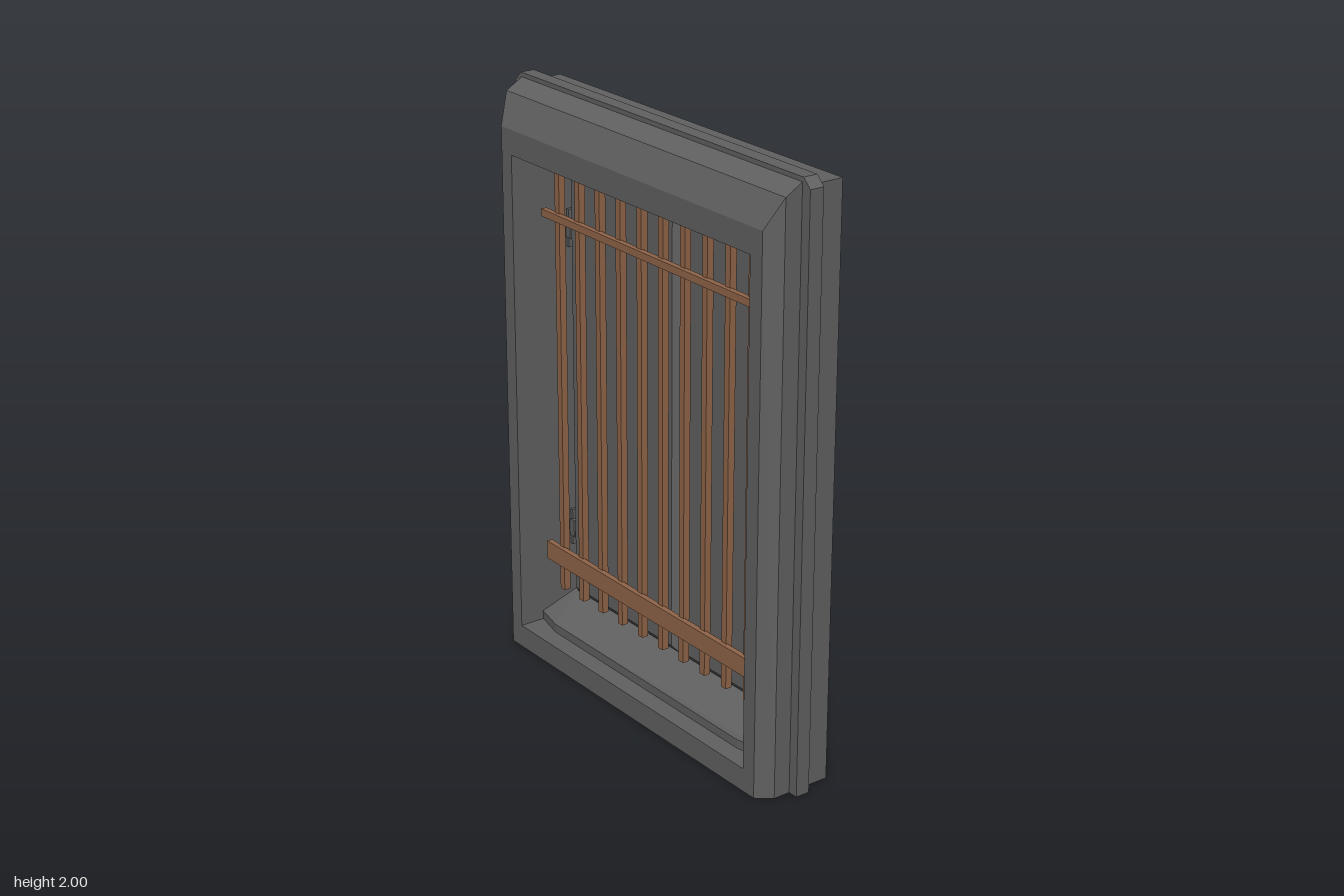
import * as THREE from 'three';

const paint = (color) => new THREE.MeshStandardMaterial({ color, flatShading: true });

// Skin over rectangles [halfWidth, bottom, top, z], capped at both ends.
function loftRects(sections) {
  const pos = [], idx = [], n = sections.length;
  for (const [w, y0, y1, z] of sections) pos.push(w, y0, z, w, y1, z, -w, y1, z, -w, y0, z);
  for (let i = 0; i < n - 1; i++) {
    for (let j = 0; j < 4; j++) {
      const k = (j + 1) % 4, a = i * 4 + j, b = i * 4 + k;
      idx.push(a, b, b + 4, a, b + 4, a + 4);
    }
  }
  const e = (n - 1) * 4;
  idx.push(0, 2, 1, 0, 3, 2, e, e + 1, e + 2, e, e + 2, e + 3);
  const g = new THREE.BufferGeometry();
  g.setAttribute('position', new THREE.Float32BufferAttribute(pos, 3));
  g.setIndex(idx);
  const flat = g.toNonIndexed();
  flat.computeVertexNormals();
  return flat;
}

export function createModel() {
  const model = new THREE.Group();
  const stone = paint(0x606060), wood = paint(0x8f6448), blue = paint(0x2a5a70);

  const add = (name, geometry, material, x = 0, y = 0, z = 0) => {
    const mesh = new THREE.Mesh(geometry, material);
    mesh.name = name;
    mesh.position.set(x, y, z);
    model.add(mesh);
    return mesh;
  };
  const box = (name, material, w, h, d, x, y, z) =>
    add(name, new THREE.BoxGeometry(w, h, d), material, x, y, z);

  // Surround: back slab, bevelled front and the window recess in one skin
  add('frame', loftRects([
    [0.705, 0, 1.97, -0.13],
    [0.705, 0, 1.97, -0.03],
    [0.705, 0, 1.985, 0.02],
    [0.705, 0, 1.95, 0.08],
    [0.665, 0, 1.85, 0.13],
    [0.61, 0.08, 1.765, 0.13],
    [0.61, 0.08, 1.765, -0.112],
  ]), stone);

  // Thin flange around the surround, with clipped top corners
  const rim = new THREE.Shape([[-0.74, 0], [0.74, 0], [0.74, 1.97], [0.71, 2], [-0.71, 2], [-0.74, 1.97]]
    .map(([x, y]) => new THREE.Vector2(x, y)));
  rim.holes.push(new THREE.Path([[-0.66, 0.04], [-0.66, 1.85], [0.66, 1.85], [0.66, 0.04]]
    .map(([x, y]) => new THREE.Vector2(x, y))));
  add('flange', new THREE.ExtrudeGeometry(rim, { depth: 0.05, bevelEnabled: false }), stone, 0, 0, -0.03);

  // Blue backing seen around the panels
  box('backing', blue, 1.22, 1.685, 0.01, 0, 0.9225, -0.107);

  // Raised panels and their hinges
  for (const side of [-1, 1]) {
    add('panel', loftRects([
      [0.29, 0.16, 1.715, -0.103],
      [0.29, 0.16, 1.715, -0.09],
      [0.272, 0.185, 1.695, -0.07],
    ]), stone, side * 0.293);
    for (const y of [0.4, 1.48]) {
      box('hingePlate', stone, 0.012, 0.13, 0.02, side * 0.604, y, -0.092);
      box('hingeKnuckle', stone, 0.024, 0.06, 0.024, side * 0.594, y, -0.088);
    }
  }

  // Sill: clipped front corners, top sloping down to the front
  const plan = new THREE.Shape([[-0.61, 0.11], [-0.61, -0.04], [-0.5, -0.065], [0.5, -0.065], [0.61, -0.04], [0.61, 0.11]]
    .map(([x, y]) => new THREE.Vector2(x, y)));
  const sill = new THREE.ExtrudeGeometry(plan, { depth: 0.03, bevelEnabled: false });
  sill.rotateX(-Math.PI / 2);
  const p = sill.attributes.position;
  for (let i = 0; i < p.count; i++) {
    if (p.getY(i) > 0.02 && p.getZ(i) < -0.05) p.setY(i, 0.08);
  }
  sill.computeVertexNormals();
  add('sill', sill, stone, 0, 0.08, 0);

  // Grille: ten upright bars and two cross bars
  for (let i = 0; i < 10; i++) {
    box('uprightBar', wood, 0.024, 1.53, 0.024, -0.5 + i * 0.1107, 1.0, 0.02);
  }
  box('upperCrossBar', wood, 1.13, 0.025, 0.02, -0.004, 1.568, 0.036);
  box('lowerCrossBar', wood, 1.13, 0.065, 0.02, -0.004, 0.362, 0.036);

  return model;
}
